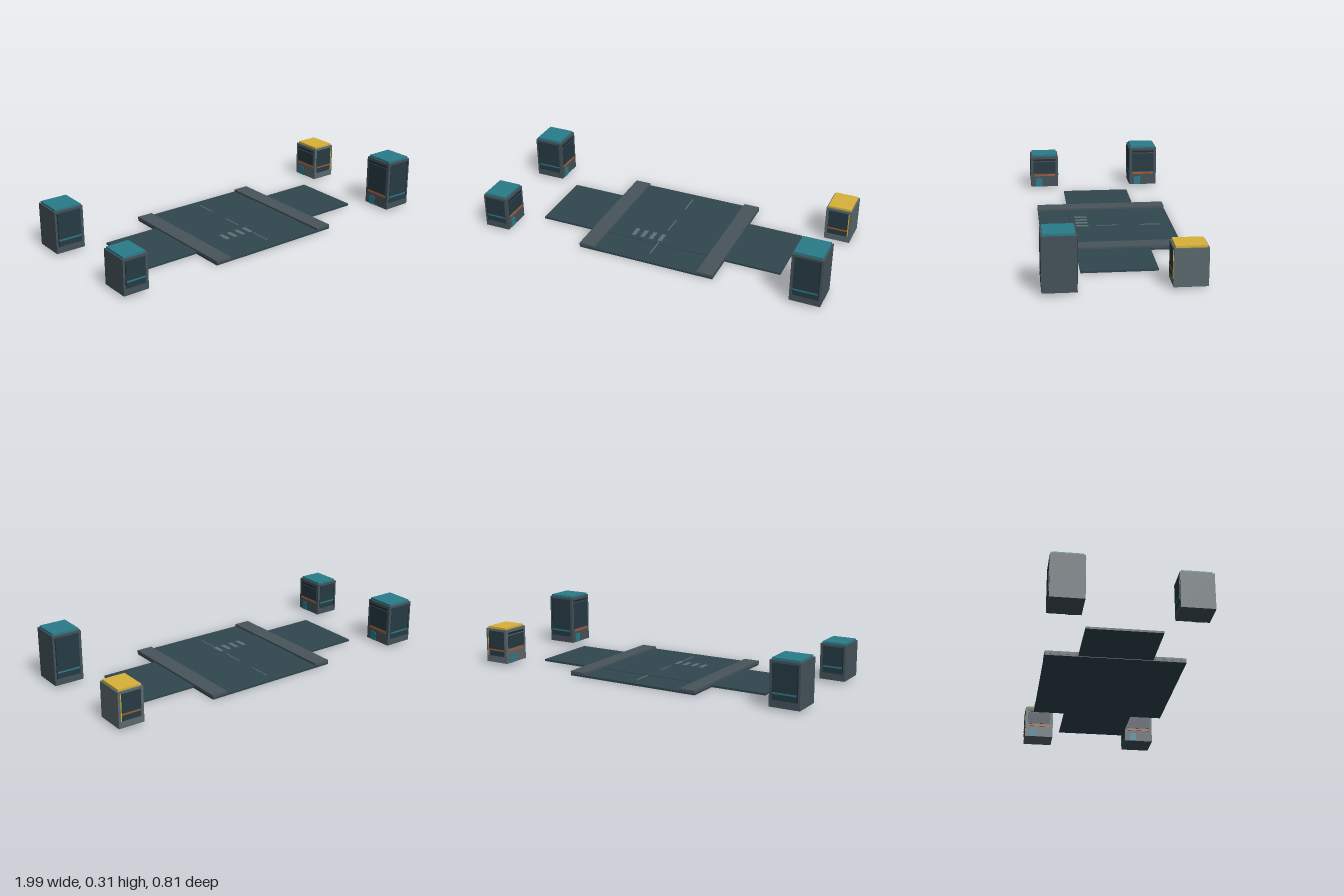
import * as THREE from 'three';

const mat = (color) => new THREE.MeshStandardMaterial({ color });
const M = {
  road: mat(0x31464f), walk: mat(0x48545b), paint: mat(0x5e7076),
  body: mat(0x44525a), paleBody: mat(0x5a686e), glass: mat(0x263a43), dark: mat(0x1f2c33),
  teal: mat(0x2a7c8a), yellow: mat(0xd9b23a), orange: mat(0xa85a32),
};

// Box given by its lower and upper corners
function box(parent, name, material, [x0, y0, z0], [x1, y1, z1]) {
  const mesh = new THREE.Mesh(new THREE.BoxGeometry(x1 - x0, y1 - y0, z1 - z0), material);
  mesh.position.set((x0 + x1) / 2, (y0 + y1) / 2, (z0 + z1) / 2);
  mesh.name = name;
  parent.add(mesh);
  return mesh;
}

// Kiosk-like building; its shop front faces local +x, glazed panels face +z and -z
function building({ name, w, d, top, body, roof, stripe, edge }) {
  const g = new THREE.Group();
  g.name = name;
  const hw = w / 2, hd = d / 2, base = 0.014;
  box(g, 'walls', body, [-hw, base, -hd], [hw, top, hd]);
  box(g, 'roofCap', roof, [-hw + 0.008, top, -hd + 0.008], [hw - 0.008, top + 0.011, hd - 0.008]);

  // Side glazing with a low stripe and an edge strip
  for (const s of [-1, 1]) {
    const slab = (n, m, x0, x1, y0, y1, out) =>
      box(g, n, m, [x0, y0, Math.min(s * hd, s * (hd + out))], [x1, y1, Math.max(s * hd, s * (hd + out))]);
    slab('sideGlazing', M.glass, -hw + 0.016, hw - 0.016, 0.052, top - 0.012, 0.002);
    slab('sideStripe', stripe, -hw + 0.018, hw - 0.018, 0.083, 0.092, 0.003);
    slab('edgeStrip', edge, -hw + 0.012, -hw + 0.017, 0.052, top - 0.012, 0.003);
  }

  // Shop front: glazing, awning strip, door and upper band
  box(g, 'shopGlazing', M.glass, [hw, 0.1, -hd + 0.016], [hw + 0.002, top - 0.035, hd - 0.016]);
  box(g, 'awning', M.orange, [hw, 0.083, -hd + 0.02], [hw + 0.004, 0.094, hd - 0.02]);
  box(g, 'door', M.teal, [hw, base, 0.015], [hw + 0.003, 0.066, 0.055]);
  box(g, 'signBand', M.dark, [hw, top - 0.028, -hd + 0.016], [hw + 0.003, top - 0.016, hd - 0.016]);
  return g;
}

export function createModel() {
  const model = new THREE.Group();
  model.name = 'crossroads';

  // Roads
  box(model, 'mainRoad', M.road, [-0.395, 0, -0.376], [0.395, 0.012, 0.376]);
  box(model, 'crossRoad', M.road, [-0.715, 0.003, -0.198], [0.715, 0.0145, 0.198]);

  // Raised pavements
  for (const s of [-1, 1]) {
    const walk = box(model, 'pavement', M.walk, [-0.046, 0.01, -0.376], [0.046, 0.025, 0.376]);
    walk.position.x = s * 0.35;
  }

  // Centre line dashes
  for (const z of [-0.255, -0.008, 0.243])
    box(model, 'laneDash', M.paint, [-0.003, 0.011, z - 0.06], [0.003, 0.0158, z + 0.06]);

  // Crossing stripes
  for (let i = 0; i < 4; i++) {
    const x = -0.162 + i * 0.053;
    box(model, 'crossingStripe', M.paint, [x - 0.012, 0.011, 0.1], [x + 0.012, 0.016, 0.17]);
  }

  // Corner buildings, shop fronts turned towards the road
  const tall = { w: 0.168, d: 0.172, body: M.body, roof: M.teal, stripe: M.teal, edge: M.dark };
  const low = { ...tall, w: 0.145 };
  const places = [
    [0.91, 0.317, { ...tall, name: 'tallBuilding', top: 0.297 }],
    [-0.915, -0.317, { ...tall, name: 'mediumBuilding', top: 0.253 }],
    [0.902, -0.317, { ...low, name: 'yellowRoofBuilding', top: 0.21, body: M.paleBody, roof: M.yellow, stripe: M.orange, edge: M.yellow }],
    [-0.907, 0.315, { ...low, name: 'lowBuilding', top: 0.21 }],
  ];
  for (const [x, z, spec] of places) {
    const b = building(spec);
    b.position.set(x, 0, z);
    if (x > 0) b.rotation.y = Math.PI;
    model.add(b);
  }
  return model;
}
